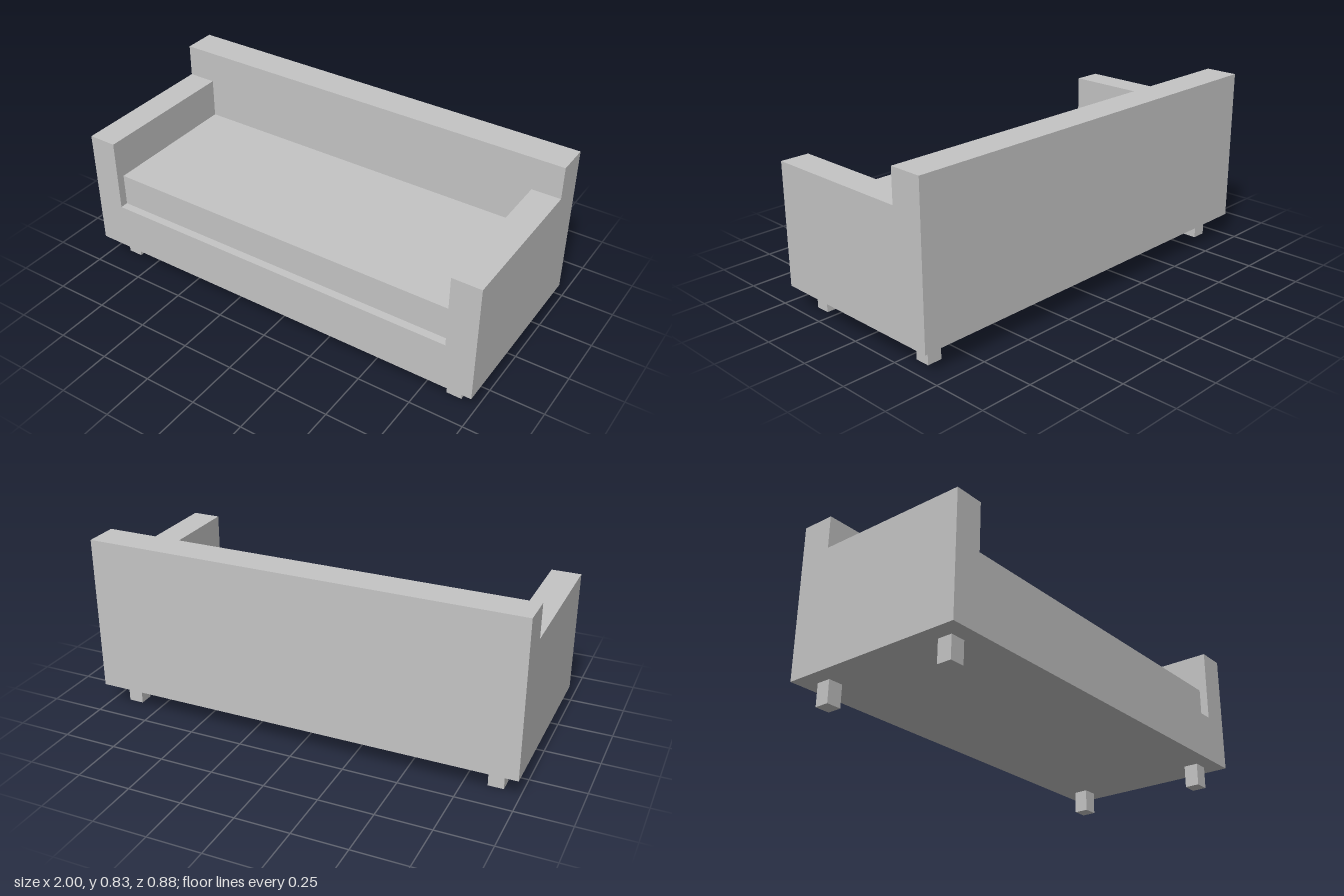
import * as THREE from 'three';

export function createModel() {
  const sofa = new THREE.Group();
  sofa.name = 'sofa';
  const grey = new THREE.MeshStandardMaterial({ color: 0xc4c4c4 });
  grey.name = 'grey';

  const add = (name, geometry) => {
    const mesh = new THREE.Mesh(geometry, grey);
    mesh.name = name;
    sofa.add(mesh);
    return mesh;
  };

  // Box given by its lowest and highest corners
  const box = (name, [x0, y0, z0], [x1, y1, z1]) =>
    add(name, new THREE.BoxGeometry(x1 - x0, y1 - y0, z1 - z0))
      .position.set((x0 + x1) / 2, (y0 + y1) / 2, (z0 + z1) / 2);

  const depth = 0.4385, backFront = -0.283;
  const bottom = 0.105, seatBase = 0.33, armTop = 0.675, armInner = 0.865;

  // Base and both arms as one U-shaped front profile
  const profile = new THREE.Shape([
    [-1, bottom], [1, bottom], [1, armTop], [armInner, armTop],
    [armInner, seatBase], [-armInner, seatBase], [-armInner, armTop], [-1, armTop],
  ].map(([x, y]) => new THREE.Vector2(x, y)));
  add('baseAndArms', new THREE.ExtrudeGeometry(profile, {
    depth: depth - backFront, bevelEnabled: false,
  })).position.z = backFront;

  // Backrest across the full width
  box('backrest', [-1, bottom, -depth], [1, 0.83, backFront]);

  // Seat cushion, set back a little from the front
  box('seatCushion', [-armInner, seatBase, backFront], [armInner, 0.485, 0.4]);

  // Four square legs
  for (const [sideName, sx] of [['left', 1], ['right', -1]]) {
    for (const [endName, z] of [['Front', 0.328], ['Back', -0.328]]) {
      const x = sx * 0.888;
      box(`${sideName}${endName}Leg`, [x - 0.035, 0, z - 0.034], [x + 0.035, bottom, z + 0.034]);
    }
  }

  return sofa;
}
